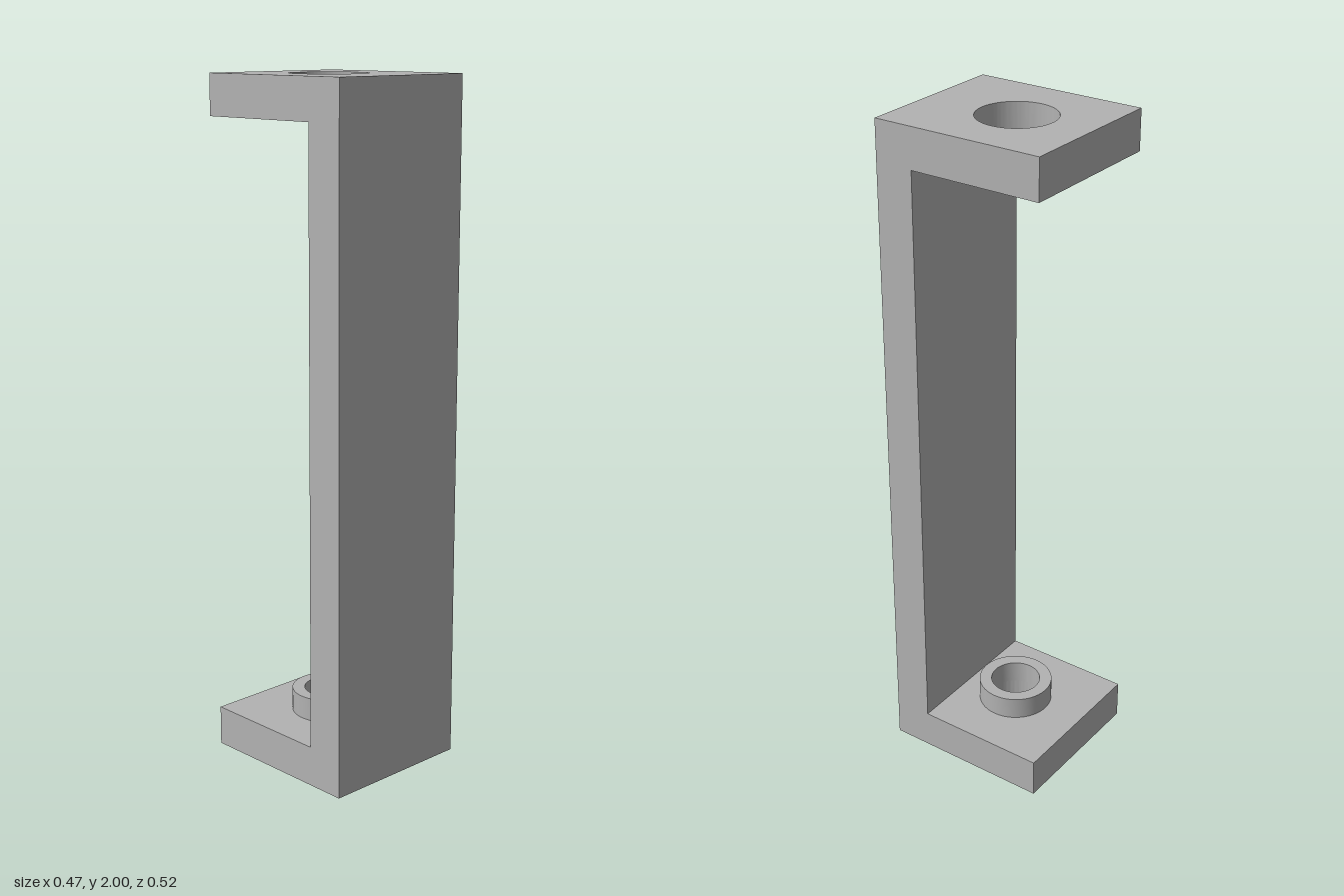
import * as THREE from 'three';
import { toCreasedNormals } from 'three/addons/utils/BufferGeometryUtils.js';

const HALF_W = 0.235, BACK = -0.258, FRONT = 0.258, WALL_INNER = 0.142;
const HEIGHT = 2, THICK = 0.118, HOLE_Z = -0.025;
const BIG_R = 0.112, SMALL_R = 0.075, COLLAR_TOP = 0.187;

export function createModel() {
  const model = new THREE.Group();
  const grey = new THREE.MeshStandardMaterial({ color: 0xb2b2b2 });
  grey.name = 'grey';

  const add = (name, geometry, x, y, z) => {
    const mesh = new THREE.Mesh(geometry, grey);
    mesh.name = name;
    mesh.position.set(x, y, z);
    model.add(mesh);
  };

  // Horizontal plate with a round through hole
  const plate = (radius) => {
    const shape = new THREE.Shape([
      new THREE.Vector2(-HALF_W, -WALL_INNER),
      new THREE.Vector2(HALF_W, -WALL_INNER),
      new THREE.Vector2(HALF_W, -BACK),
      new THREE.Vector2(-HALF_W, -BACK),
    ]);
    const hole = new THREE.Path();
    hole.absarc(0, -HOLE_Z, radius, 0, Math.PI * 2, true);
    shape.holes.push(hole);
    const geometry = new THREE.ExtrudeGeometry(shape, { depth: THICK, bevelEnabled: false, curveSegments: 64 });
    geometry.rotateX(-Math.PI / 2);
    return toCreasedNormals(geometry, 0.5);
  };

  // Upright wall at the front
  const depth = FRONT - WALL_INNER;
  add('wall', new THREE.BoxGeometry(HALF_W * 2, HEIGHT, depth), 0, HEIGHT / 2, WALL_INNER + depth / 2);

  // Flanges reaching backwards
  add('topFlange', plate(BIG_R), 0, HEIGHT - THICK, 0);
  add('bottomFlange', plate(SMALL_R), 0, 0, 0);

  // Raised collar around the lower hole
  const profile = [
    [BIG_R, THICK], [BIG_R, COLLAR_TOP], [SMALL_R, COLLAR_TOP], [SMALL_R, THICK],
  ].map(([r, y]) => new THREE.Vector2(r, y));
  add('collar', toCreasedNormals(new THREE.LatheGeometry(profile, 64), 0.5), 0, 0, HOLE_Z);

  return model;
}
